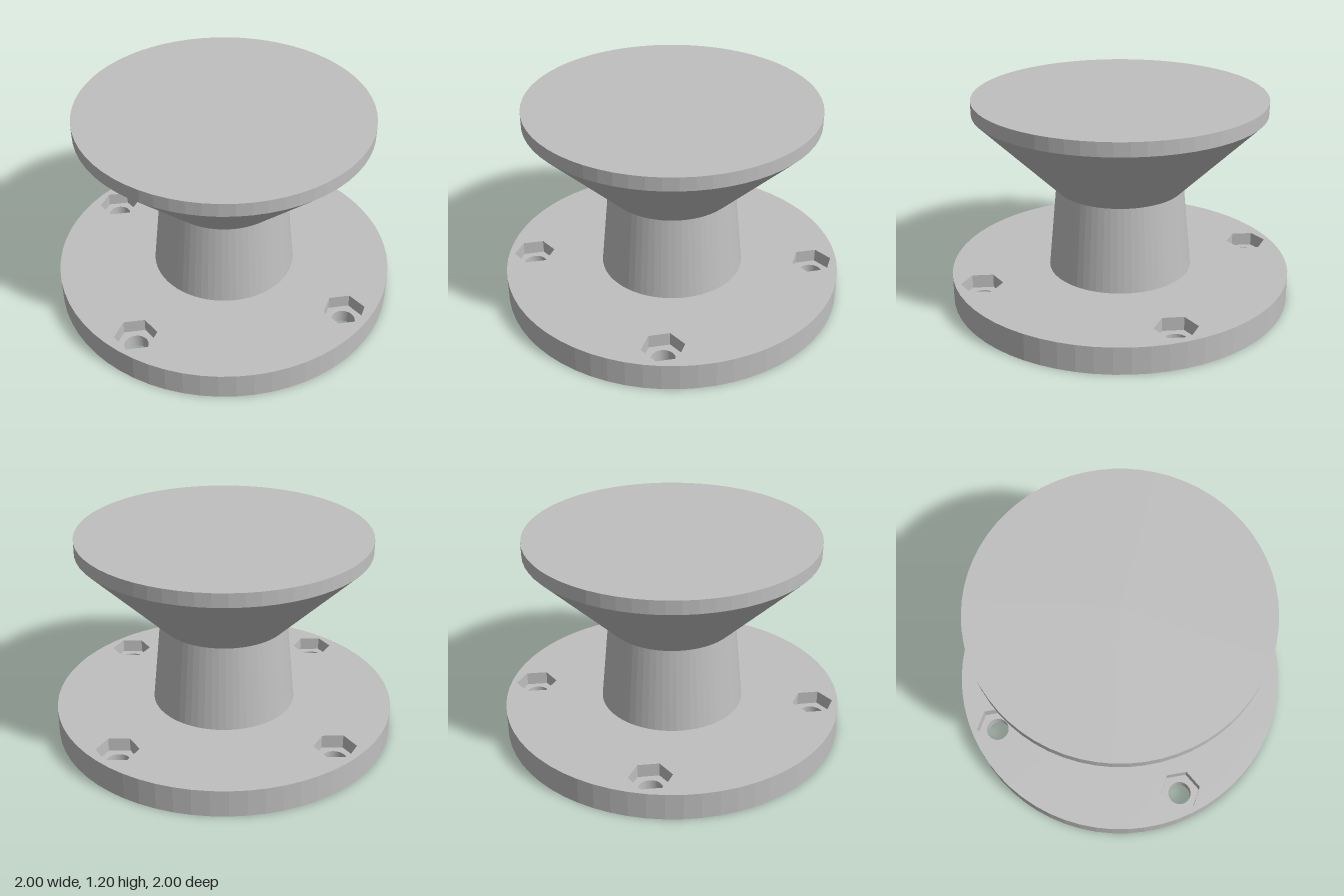
import * as THREE from 'three';

const SIDES = 64;
const FLANGE_H = 0.16, POCKET_Y = 0.08;

export function createModel() {
  const model = new THREE.Group();
  model.name = 'mountingKnob';
  const grey = new THREE.MeshStandardMaterial({ color: 0xbfbfbf });
  grey.name = 'plain grey';
  grey.flatShading = true;

  const add = (name, geometry, y) => {
    const mesh = new THREE.Mesh(geometry, grey);
    mesh.name = name;
    mesh.position.y = y;
    model.add(mesh);
  };

  // Disc with one hole in each quadrant, extruded upwards
  const disc = (height, makeHole) => {
    const shape = new THREE.Shape().absarc(0, 0, 1, 0, Math.PI * 2);
    for (const x of [-0.6, 0.6]) for (const y of [-0.6, 0.6]) shape.holes.push(makeHole(x, y));
    return new THREE.ExtrudeGeometry(shape, { depth: height, bevelEnabled: false, curveSegments: SIDES / 2 })
      .rotateX(-Math.PI / 2);
  };
  const boltHole = (x, y) => new THREE.Path().absarc(x, y, 0.068, 0, Math.PI * 2, true);
  const hexPocket = (x, y) => {
    const corners = [];
    for (let i = 0; i < 6; i++) {
      const a = -i * Math.PI / 3;
      corners.push(new THREE.Vector2(x + 0.121 * Math.cos(a), y + 0.121 * Math.sin(a)));
    }
    const path = new THREE.Path(corners);
    path.closePath();
    return path;
  };

  // Flange: round bolt holes below, hexagonal nut pockets above
  add('flangeLower', disc(POCKET_Y, boltHole), 0);
  add('flangeUpper', disc(FLANGE_H - POCKET_Y, hexPocket), POCKET_Y);

  // Stem, flared head and flat rim, stacked
  const ring = (name, rTop, rBottom, y0, y1, open) =>
    add(name, new THREE.CylinderGeometry(rTop, rBottom, y1 - y0, SIDES, 1, open), (y0 + y1) / 2);
  ring('stem', 0.373, 0.422, FLANGE_H, 0.657, true);
  ring('flaredHead', 0.838, 0.373, 0.657, 1.122, true);
  ring('headRim', 0.838, 0.838, 1.122, 1.2, false);

  return model;
}
